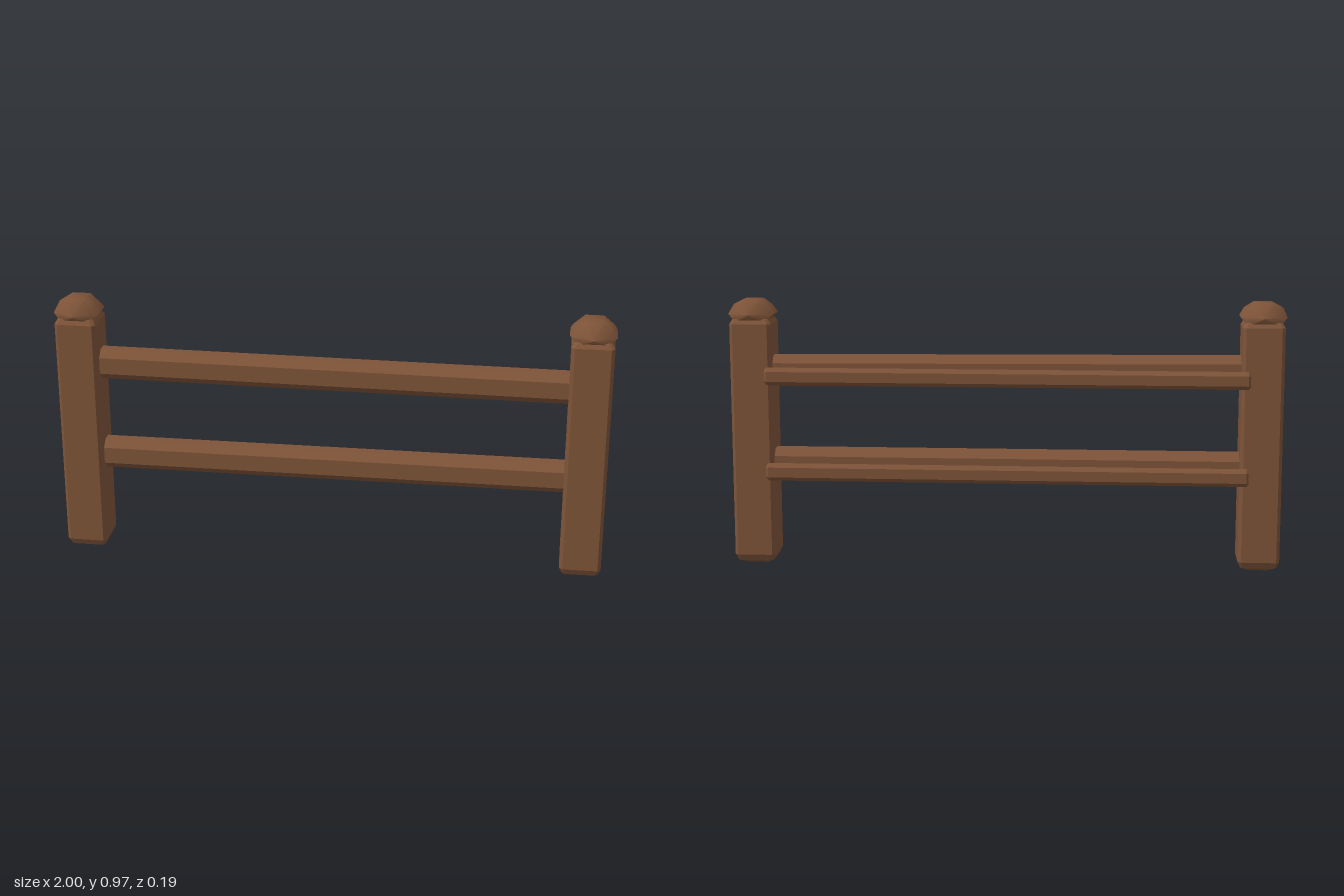
import * as THREE from 'three';
import { toCreasedNormals } from 'three/addons/utils/BufferGeometryUtils.js';
import { ConvexGeometry } from 'three/addons/geometries/ConvexGeometry.js';

// Lofts chamfered rectangles along y; each section is [y, halfX, halfZ, chamfer]
function loft(sections) {
  const pos = [], idx = [];
  for (const [y, a, b, c] of sections) {
    const ring = [[a, b - c], [a - c, b], [c - a, b], [-a, b - c],
      [-a, c - b], [c - a, -b], [a - c, -b], [a, c - b]];
    for (const [x, z] of ring) pos.push(x, y, z);
  }
  const last = (sections.length - 1) * 8;
  for (let r = 0; r < last; r += 8) {
    for (let i = 0; i < 8; i++) {
      const j = (i + 1) % 8;
      idx.push(r + i, r + 8 + j, r + 8 + i, r + i, r + j, r + 8 + j);
    }
  }
  for (let i = 1; i < 7; i++) {
    idx.push(0, i + 1, i, last, last + i, last + i + 1);
  }
  // the ring runs clockwise seen from above, so flip every face outward
  for (let i = 0; i < idx.length; i += 3) [idx[i + 1], idx[i + 2]] = [idx[i + 2], idx[i + 1]];
  const g = new THREE.BufferGeometry();
  g.setAttribute('position', new THREE.Float32BufferAttribute(pos, 3));
  g.setIndex(idx);
  return toCreasedNormals(g, 0.3);
}

// Beam along x with bevelled ends
function beam(length, halfHeight, halfDepth, chamfer, bevel) {
  const h = length / 2;
  const end = [halfHeight - bevel, halfDepth - bevel, chamfer * 0.6];
  const mid = [halfHeight, halfDepth, chamfer];
  return loft([[-h, ...end], [bevel - h, ...mid], [h - bevel, ...mid], [h, ...end]])
    .rotateZ(-Math.PI / 2);
}

// Faceted dome that overhangs the post
function capGeometry() {
  const pts = [];
  const add = (x, y, z) => pts.push(new THREE.Vector3(x, y, z));
  for (const s of [-1, 1]) {
    add(0, 0.92, s * 0.092);
    add(s * 0.07, 0.952, 0);
    for (const t of [-1, 1]) {
      add(s * 0.082, 0.92, t * 0.045);
      add(s * 0.033, 0.97, t * 0.042);
      add(s * 0.055, 0.89, t * 0.06);
    }
  }
  return toCreasedNormals(new ConvexGeometry(pts), 1.0);
}

export function createModel() {
  const model = new THREE.Group();
  const wood = new THREE.MeshStandardMaterial({ color: 0x7d5338 });
  wood.name = 'brown wood';
  const add = (name, geometry, x, y, z) => {
    const mesh = new THREE.Mesh(geometry, wood);
    mesh.name = name;
    mesh.position.set(x, y, z);
    model.add(mesh);
    return mesh;
  };

  // Posts with rounded feet and caps
  const post = loft([
    [0, 0.042, 0.042, 0.008], [0.012, 0.064, 0.066, 0.01], [0.036, 0.075, 0.078, 0.012],
    [0.885, 0.075, 0.078, 0.012], [0.903, 0.064, 0.067, 0.01], [0.908, 0.045, 0.045, 0.008],
  ]);
  const cap = capGeometry();
  for (const [side, x] of [['left', 0.918], ['right', -0.918]]) {
    add(side + 'Post', post, x, 0, 0.004);
    add(side + 'PostCap', cap, x, 0, 0.003);
  }

  // Main rails between the posts
  const rail = beam(1.78, 0.056, 0.045, 0.026, 0.012);
  add('upperRail', rail, 0, 0.717, 0).rotation.z = -0.006;
  add('lowerRail', rail, 0, 0.37, 0);

  // Thin slats fixed across the back of the posts
  const slat = beam(1.74, 0.032, 0.016, 0.014, 0.008);
  add('upperBackSlat', slat, -0.004, 0.699, -0.081);
  add('lowerBackSlat', slat, -0.004, 0.349, -0.081);
  return model;
}
